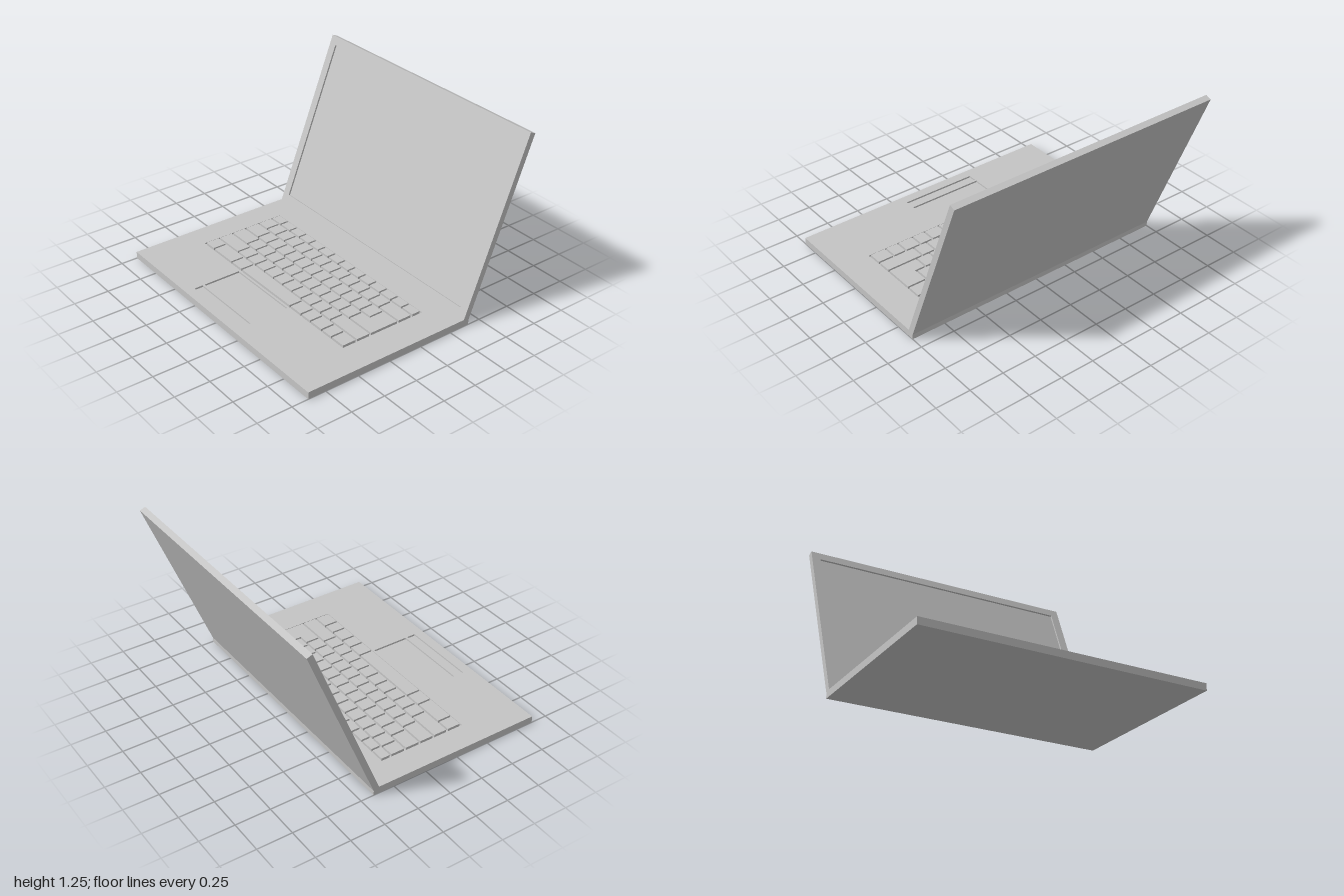
import * as THREE from 'three';

const grey = new THREE.MeshStandardMaterial({ color: 0xc4c4c4 });
grey.name = 'casing grey';

function add(parent, name, geometry) {
  const mesh = new THREE.Mesh(geometry, grey);
  mesh.name = name;
  parent.add(mesh);
  return mesh;
}

function rectanglePath(path, x0, y0, x1, y1) {
  path.moveTo(x0, y0);
  path.lineTo(x1, y0);
  path.lineTo(x1, y1);
  path.lineTo(x0, y1);
  path.closePath();
  return path;
}

// Flat sheet with rectangular openings, extruded along z
function sheet(outline, openings, depth) {
  const shape = rectanglePath(new THREE.Shape(), ...outline);
  for (const o of openings) shape.holes.push(rectanglePath(new THREE.Path(), ...o));
  return new THREE.ExtrudeGeometry(shape, { depth, bevelEnabled: false });
}

const KEY_BOTTOM = 0.036, KEY_TOP = 0.057, GAP = 0.014;

function addKey(parent, x0, x1, z0, z1) {
  const g = new THREE.BoxGeometry(x1 - x0 - GAP, KEY_TOP - KEY_BOTTOM, z1 - z0 - GAP);
  g.translate((x0 + x1) / 2, (KEY_TOP + KEY_BOTTOM) / 2, (z0 + z1) / 2);
  add(parent, 'key', g);
}

function createBase() {
  const base = new THREE.Group();
  base.name = 'base';

  // Lower tray
  const tray = new THREE.BoxGeometry(2, 0.038, 1.285);
  add(base, 'tray', tray.translate(0, 0.019, 0.2375));

  // Top deck with keyboard well, trackpad and button recesses (shape y is -z)
  const deck = sheet([-1, -0.88, 1, 0.405], [
    [-0.81, -0.44, 0.77, 0.21],
    [-0.36, -0.73, 0.2, -0.455],
    [-0.36, -0.81, 0.2, -0.745],
  ], 0.012);
  add(base, 'deck', deck.rotateX(-Math.PI / 2).translate(0, 0.038, 0));

  // Keyboard rows: back z, front z, key widths from left to right
  const keyboard = new THREE.Group();
  keyboard.name = 'keyboard';
  base.add(keyboard);
  const u = 0.105;
  const many = (n, w = u) => Array(n).fill(w);
  const rows = [
    [-0.207, -0.13, many(14, 1.57 / 14)],
    [-0.13, -0.016, [...many(13), 0.205]],
    [-0.016, 0.1, [0.16, ...many(12)]],
    [0.1, 0.213, [0.19, ...many(11)]],
    [0.213, 0.325, [0.24, ...many(10), 0.28]],
    [0.325, 0.437, [0.105, 0.22, 0.12, 0.56, 0.12, 0.1, 0.12, 0.1, 0.125]],
  ];
  for (const [z0, z1, widths] of rows) {
    let x = -0.805;
    for (const w of widths) {
      addKey(keyboard, x, x + w, z0, z1);
      x += w;
    }
  }

  // Tall L-shaped enter key spanning two rows
  const h = GAP / 2;
  const outline = [
    [0.54 + h, -0.213 + h], [0.765 - h, -0.213 + h], [0.765 - h, 0.016 - h],
    [0.615 + h, 0.016 - h], [0.615 + h, -0.1 - h], [0.54 + h, -0.1 - h],
  ].map(([x, y]) => new THREE.Vector2(x, y));
  const enter = new THREE.ExtrudeGeometry(new THREE.Shape(outline),
    { depth: KEY_TOP - KEY_BOTTOM, bevelEnabled: false });
  add(keyboard, 'enterKey', enter.rotateX(-Math.PI / 2).translate(0, KEY_BOTTOM, 0));
  return base;
}

function createLid() {
  const lid = new THREE.Group();
  lid.name = 'lid';
  const length = 1.288, thickness = 0.043, recess = 0.012, margin = 0.06;

  // Back shell, whose front is the sunken screen
  const shell = new THREE.BoxGeometry(2, length, thickness - recess);
  add(lid, 'screenShell', shell.translate(0, length / 2, -(thickness + recess) / 2));

  // Raised frame around the screen
  const bezel = sheet([-1, 0, 1, length],
    [[-1 + margin, margin, 1 - margin, length - margin]], recess);
  add(lid, 'bezel', bezel.translate(0, 0, -recess));

  lid.position.set(0, 0.05, -0.365);
  lid.rotation.x = -0.378;
  return lid;
}

export function createModel() {
  const model = new THREE.Group();
  model.name = 'laptop';
  model.add(createBase(), createLid());
  return model;
}
